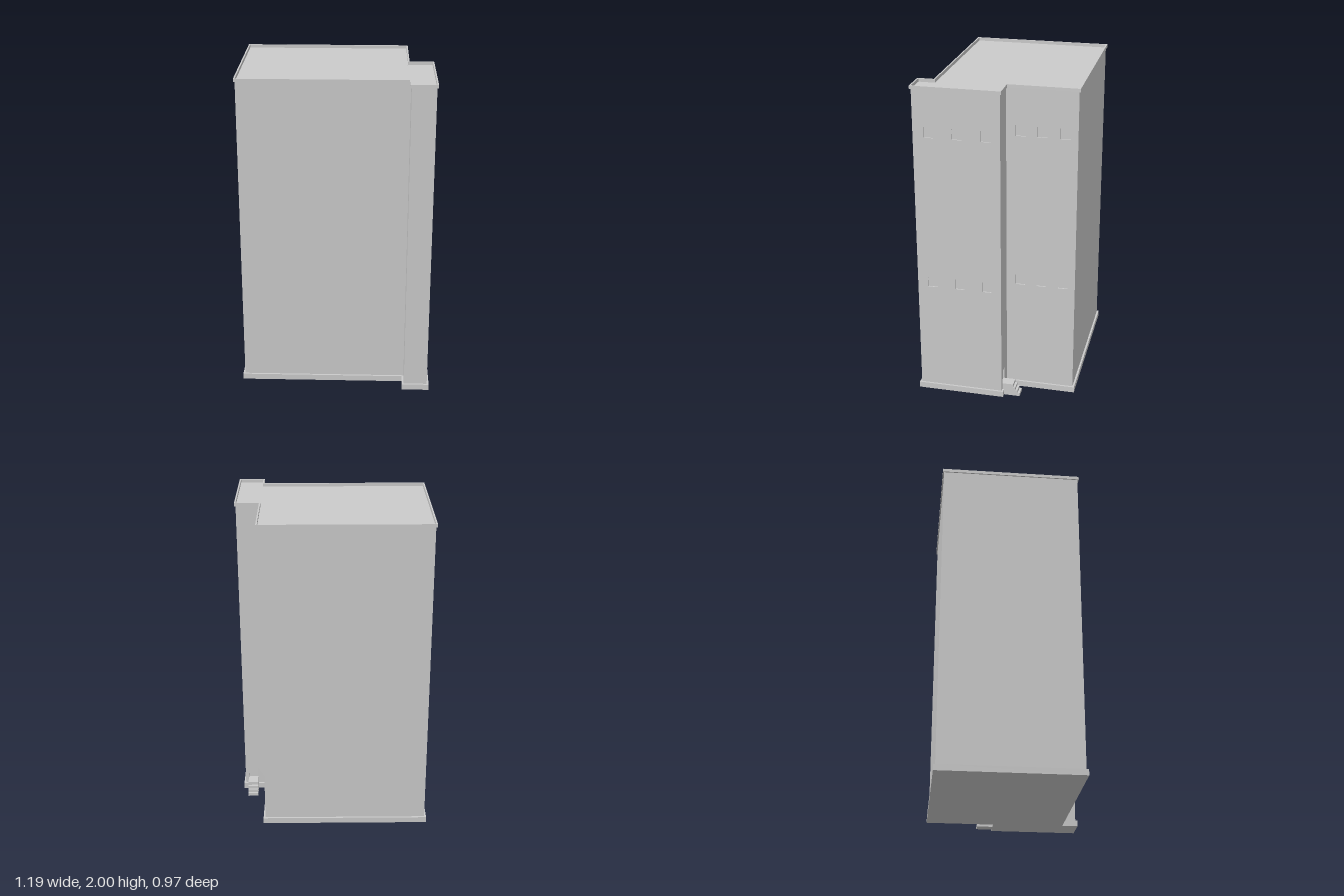
import * as THREE from 'three';

const material = new THREE.MeshStandardMaterial({ color: 0xcccccc, flatShading: true });

// Stepped footprint, pulled in by i; dx and dz set back the window and door walls
function footprint(i, dx = 0, dz = 0) {
  const left = -0.597 + i, back = -0.487 + i, front = 0.487 - i;
  const mainRight = 0.447 - i - dx, wingRight = 0.597 - i - dx;
  const wingBack = -0.06 + i + dz, wingLeft = 0.427 + i, mainFront = 0.387 - i;
  return [
    [left, mainFront], [wingLeft, mainFront], [wingLeft, front], [wingRight, front],
    [wingRight, wingBack], [mainRight, wingBack], [mainRight, back], [left, back],
  ].map(([x, z]) => new THREE.Vector2(x, -z));
}

function addMesh(parent, name, geometry) {
  const mesh = new THREE.Mesh(geometry, material);
  mesh.name = name;
  parent.add(mesh);
  return mesh;
}

// Upright prism over a footprint
function slab(outline, y0, y1, hole) {
  const shape = new THREE.Shape(outline);
  if (hole) shape.holes.push(new THREE.Path(hole));
  return new THREE.ExtrudeGeometry(shape, { depth: y1 - y0, bevelEnabled: false })
    .rotateX(-Math.PI / 2).translate(0, y0, 0);
}

function rectangle(Type, u0, u1, y0, y1) {
  return new Type([[u0, y0], [u1, y0], [u1, y1], [u0, y1]].map(([u, y]) => new THREE.Vector2(u, y)));
}

// Thin wall sheet with rectangular openings
function panel(u0, u1, openings, depth) {
  const shape = rectangle(THREE.Shape, u0, u1, 0.037, 1.98);
  for (const o of openings) shape.holes.push(rectangle(THREE.Path, ...o));
  return new THREE.ExtrudeGeometry(shape, { depth, bevelEnabled: false });
}

export function createModel() {
  const group = new THREE.Group();
  const inset = 0.012, recess = 0.008;

  // Plinth, tower core and roof parapet
  addMesh(group, 'plinth', slab(footprint(0), 0, 0.037));
  addMesh(group, 'towerBody', slab(footprint(inset, recess, recess), 0.037, 1.98));
  addMesh(group, 'parapet', slab(footprint(0.004), 1.98, 2, footprint(0.013)));

  // Right-hand walls with two rows of small recessed windows
  const windowWall = (name, x, zBack, zFront, centres) => {
    const openings = [];
    for (const sill of [0.725, 1.69]) {
      for (const z of centres) openings.push([-z - 0.03, -z + 0.03, sill, sill + 0.065]);
    }
    const wall = addMesh(group, name, panel(-zFront, -zBack, openings, recess));
    wall.rotation.y = Math.PI / 2;
    wall.position.x = x - recess;
  };
  windowWall('mainWindowWall', 0.435, -0.475, -0.042, [-0.135, -0.265, -0.4]);
  windowWall('wingWindowWall', 0.585, -0.048, 0.475, [0.38, 0.21, 0.04]);

  // Back wall of the wing with a recessed doorway
  const doorWall = addMesh(group, 'doorWall', panel(-0.577, -0.43, [[-0.56, -0.505, 0.08, 0.16]], recess));
  doorWall.rotation.y = Math.PI;
  doorWall.position.z = -0.048 + recess;

  // Landing and steps leading up to the door
  const steps = new THREE.Group();
  steps.name = 'doorSteps';
  const ends = [-0.118, -0.132, -0.146, -0.16];
  ends.forEach((end, i) => {
    const start = i ? ends[i - 1] : -0.046;
    const height = 0.08 - i * 0.02;
    const step = addMesh(steps, i ? 'step' : 'landing', new THREE.BoxGeometry(0.066, height, start - end));
    step.position.set(0.532, height / 2, (start + end) / 2);
  });
  group.add(steps);

  return group;
}
